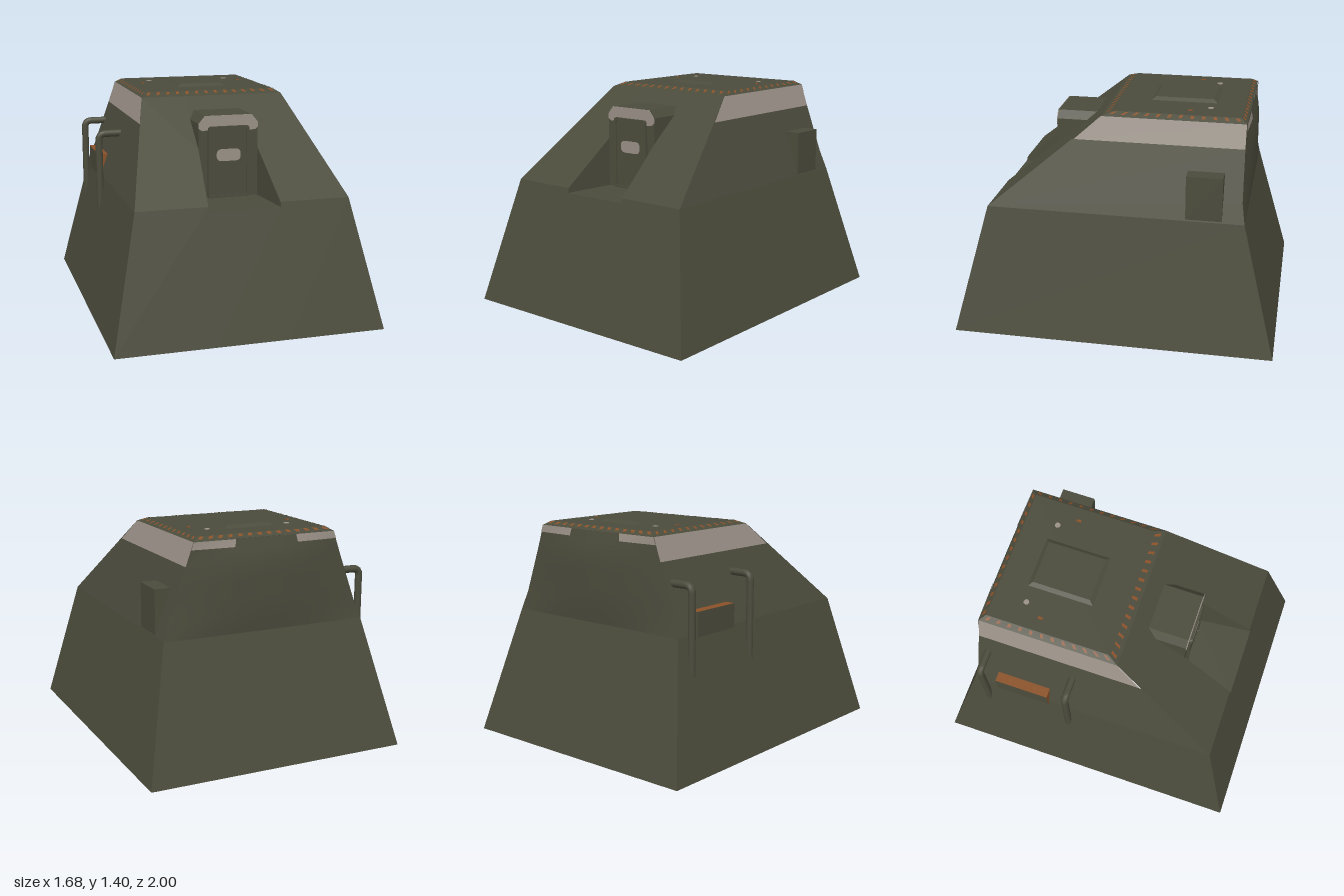
import * as THREE from 'three';

const mat = (name, color) => Object.assign(new THREE.MeshStandardMaterial({ color, side: THREE.DoubleSide }), { name });
const mirror = (polys) => polys.map((p) => p.map(([x, y, z]) => [-x, y, z]).reverse());
const both = (polys) => [...polys, ...mirror(polys)];

// Flat-shaded geometry from convex polygons, wound outward
function faces(polys) {
  const pos = [];
  for (const p of polys)
    for (let i = 1; i < p.length - 1; i++) pos.push(...p[0], ...p[i], ...p[i + 1]);
  const g = new THREE.BufferGeometry();
  g.setAttribute('position', new THREE.Float32BufferAttribute(pos, 3));
  g.computeVertexNormals();
  return g;
}

// Corners of a horizontal rectangle, in order front left round to back left
const rect = (hx, z0, z1, y) => [[-hx, y, z1], [hx, y, z1], [hx, y, z0], [-hx, y, z0]];
// Sloped sides between two rectangles
const band = (a, b) => a.map((p, i) => [p, a[(i + 1) % 4], b[(i + 1) % 4], b[i]]);
const mix = (a, b, t) => a.map((v, i) => v + (b[i] - v) * t);

// Rear wall rows: y, half width, z at corner, z at centre
const ROWS = [[0.8, 0.665, -0.785, -0.785], [0.92, 0.622, -0.765, -0.8], [1.22, 0.514, -0.76, -0.8], [1.36, 0.465, -0.76, -0.765]];
function rear(u, y, off = 0) {
  let i = 0;
  while (i < 2 && y > ROWS[i + 1][0]) i++;
  const [, hx, zc, zm] = mix(ROWS[i], ROWS[i + 1], (y - ROWS[i][0]) / (ROWS[i + 1][0] - ROWS[i][0]));
  return [u * hx, y, zc + (zm - zc) * (1 - u * u) - off];
}
// Grid on the rear wall
function rearGrid(us, ys, off) {
  const pos = [], idx = [], n = us.length;
  for (const y of ys) for (const u of us) pos.push(...rear(u, y, off));
  for (let j = 0; j < ys.length - 1; j++)
    for (let i = 0; i < n - 1; i++) {
      const a = j * n + i;
      idx.push(a, a + n, a + 1, a + 1, a + n, a + n + 1);
    }
  const g = new THREE.BufferGeometry();
  g.setAttribute('position', new THREE.Float32BufferAttribute(pos, 3));
  g.setIndex(idx);
  g.computeVertexNormals();
  return g;
}

// Rounded outline centred on a point
function roundRect(w, h, r) {
  const s = new THREE.Shape(), x = w / 2, y = h / 2;
  s.moveTo(-x + r, -y).lineTo(x - r, -y).quadraticCurveTo(x, -y, x, -y + r).lineTo(x, y - r).quadraticCurveTo(x, y, x - r, y);
  s.lineTo(-x + r, y).quadraticCurveTo(-x, y, -x, y - r).lineTo(-x, -y + r).quadraticCurveTo(-x, -y, -x + r, -y);
  return s;
}
const shapeOf = (pts) => new THREE.Shape(pts.map(([x, y]) => new THREE.Vector2(x, y)));
const extrude = (s, depth) => new THREE.ExtrudeGeometry(s, { depth, bevelEnabled: false, curveSegments: 5 });

export function createModel() {
  const root = new THREE.Group();
  root.name = 'bunker';
  const olive = mat('olive paint', 0x4b4b3c);
  const grey = mat('bare concrete', 0x9a9187);
  const rust = mat('rust', 0x8a5128);
  const add = (name, g, m, x = 0, y = 0, z = 0) => {
    const o = new THREE.Mesh(g, m);
    o.name = name;
    o.position.set(x, y, z);
    root.add(o);
    return o;
  };

  // Sloping base, open underneath, notched at the front for the niche
  add('base', faces([
    ...both([
      [[0.225, 0, 1], [0.84, 0, 1], [0.665, 0.8, 0.8], [0.225, 0.8, 0.8]],
      [[0.84, 0, 1], [0.84, 0, -1], [0.665, 0.8, -0.785], [0.665, 0.8, 0.8]],
    ]),
    [[-0.225, 0, 1], [0.225, 0, 1], [0.225, 0.77, 0.8075], [-0.225, 0.77, 0.8075]],
    [[0.84, 0, -1], [-0.84, 0, -1], [-0.665, 0.8, -0.785], [0.665, 0.8, -0.785]],
  ]), olive);

  // Upper body: front slope and side walls
  add('upperBody', faces([
    ...both([
      [[0.225, 0.8, 0.8], [0.665, 0.8, 0.8], [0.465, 1.36, 0.12], [0.19, 1.36, 0.12], [0.19, 1.076, 0.465]],
      [[0.665, 0.8, 0.8], [0.665, 0.8, -0.785], [0.622, 0.92, -0.765], [0.514, 1.22, -0.76], [0.514, 1.22, 0.29]],
    ]),
    [[-0.19, 1.076, 0.465], [0.19, 1.076, 0.465], [0.19, 1.36, 0.12], [-0.19, 1.36, 0.12]],
  ]), olive);
  add('sideBands', faces(both([
    [[0.514, 1.22, 0.28], [0.514, 1.22, -0.76], [0.465, 1.36, -0.76], [0.465, 1.36, 0.12]],
  ])), grey);

  // Gently bulging rear wall with worn upper corners
  add('rearWall', rearGrid([-1, -0.75, -0.5, -0.25, 0, 0.25, 0.5, 0.75, 1], [0.8, 0.92, 1.02, 1.12, 1.22, 1.29, 1.36]), olive);
  add('rearPatchLeft', rearGrid([0.43, 0.5, 0.75, 1], [1.315, 1.36], 0.004), grey);
  add('rearPatchRight', rearGrid([-1, -0.75, -0.5, -0.43], [1.315, 1.36], 0.004), grey);

  // Roof with bevelled rim and raised hatch
  const rim = rect(0.465, -0.762, 0.12, 1.36), deck = rect(0.425, -0.725, 0.05, 1.385);
  add('roof', faces([...band(rim, deck), deck]), olive);
  const hatchTop = rect(0.14, -0.53, -0.165, 1.403);
  add('roofHatch', faces([...band(rect(0.165, -0.555, -0.14, 1.385), hatchTop), hatchTop]), olive);

  // Rust spots along the rim
  const spots = [];
  band(rim, deck).forEach(([a, b, c, d], side) => {
    const n = side === 1 || side === 3 ? 12 : 14, w = side === 2 ? 0.42 : 0.3;
    for (let i = 0; i < n; i++) {
      const t0 = (i + 0.5 - w / 2) / n, t1 = (i + 0.5 + w / 2) / n;
      const at = (t, s) => {
        const p = mix(mix(a, b, t), mix(d, c, t), s);
        p[1] += 0.004;
        return p;
      };
      spots.push([at(t0, 0.3), at(t1, 0.3), at(t1, 0.8), at(t0, 0.8)]);
    }
  });
  add('rimRustSpots', faces(spots), rust);
  for (const s of [-1, 1]) {
    add('roofChip', new THREE.CylinderGeometry(0.018, 0.018, 0.004, 8), grey, s * 0.27, 1.387, -0.525);
    add('roofRustChip', new THREE.BoxGeometry(0.015, 0.004, 0.03), rust, s * 0.34, 1.387, -0.41);
  }

  // Niche floor and cheeks cut into the front slope
  add('niche', faces([
    [[-0.225, 0.77, 0.8075], [0.225, 0.77, 0.8075], [0.19, 0.77, 0.46], [-0.19, 0.77, 0.46]],
    ...both([[[0.225, 0.77, 0.8075], [0.225, 0.8, 0.8], [0.19, 1.076, 0.465], [0.19, 0.77, 0.46]]]),
  ]), olive);

  // Hooded block standing in the niche
  const hood = [[-0.19, 0.77], [0.19, 0.77], [0.19, 1.235], [0.15, 1.283], [-0.15, 1.283], [-0.19, 1.235]];
  add('hoodBlock', extrude(shapeOf(hood), 0.265), olive, 0, 0, 0.2);
  const trim = [[-0.19, 1.205], [-0.165, 1.19], [-0.13, 1.195], [-0.13, 1.21], [0.13, 1.21], [0.13, 1.185], [0.175, 1.19], [0.19, 1.205], [0.19, 1.235], [0.15, 1.283], [-0.15, 1.283], [-0.19, 1.235]];
  add('hoodTrim', extrude(shapeOf(trim), 0.004), grey, 0, 0, 0.465);

  // Shutter with raised frame and worn patch
  add('shutter', new THREE.BoxGeometry(0.25, 0.44, 0.012), olive, 0, 0.99, 0.469);
  const frame = roundRect(0.264, 0.45, 0.02);
  frame.holes.push(roundRect(0.23, 0.416, 0.012));
  add('shutterFrame', extrude(frame, 0.018), olive, 0, 0.992, 0.465);
  add('shutterPatch', extrude(roundRect(0.155, 0.075, 0.034), 0.004), grey, 0, 1.037, 0.474);

  // Wedge-shaped box on the left wall
  const wedge = extrude(shapeOf([[0.662, 0.8], [0.662, 1.083], [0.55, 1.083], [0.64, 0.8]]), 0.22);
  add('sideBox', wedge, olive, 0, 0, -0.65);

  // Small locker on the right wall, rusty on top and at its front end
  add('locker', new THREE.BoxGeometry(0.1, 0.15, 0.345), [olive, olive, rust, olive, rust, olive], -0.63, 0.858, -0.452);

  // Bent pipes on the right wall
  const v = (x, y) => new THREE.Vector3(x, y, 0);
  for (const z of [-0.7, -0.145]) {
    const path = new THREE.CurvePath();
    path.add(new THREE.LineCurve3(v(-0.54, 1.097), v(-0.655, 1.097)));
    path.add(new THREE.QuadraticBezierCurve3(v(-0.655, 1.097), v(-0.697, 1.097), v(-0.697, 1.055)));
    path.add(new THREE.LineCurve3(v(-0.697, 1.055), v(-0.697, 0.57)));
    add('ventPipe', new THREE.TubeGeometry(path, 40, 0.023, 10), olive, 0, 0, z);
  }
  return root;
}
